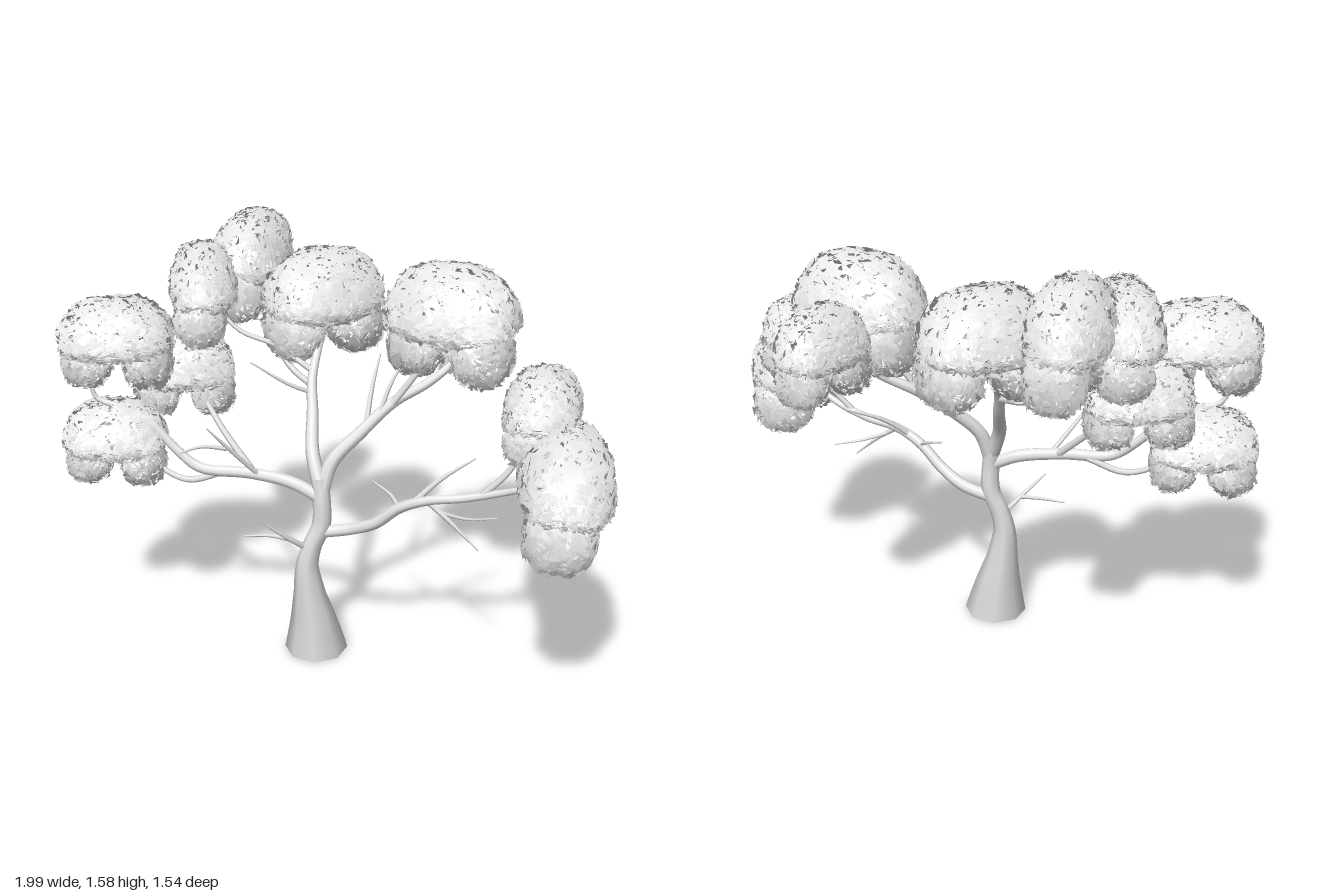
import * as THREE from 'three';

const grey = new THREE.MeshStandardMaterial({ color: 0xe7e7e7, side: THREE.DoubleSide });
grey.name = 'pale grey';

// Repeatable noise between -0.5 and 0.5
function noise(i, k) {
  const s = Math.sin(i * 12.9898 + k * 78.233) * 43758.5453;
  return s - Math.floor(s) - 0.5;
}

// Tapered tube along a curve; each point is [x, y, z, radius]
function limb(name, points, sides = 8) {
  const curve = new THREE.CatmullRomCurve3(points.map((p) => new THREE.Vector3(p[0], p[1], p[2])));
  const segments = (points.length - 1) * 5;
  const geo = new THREE.TubeGeometry(curve, segments, 1, sides);
  const pos = geo.attributes.position;
  const v = new THREE.Vector3();
  for (let i = 0; i <= segments; i++) {
    const u = i / segments;
    const c = curve.getPointAt(u);
    const f = curve.getUtoTmapping(u) * (points.length - 1);
    const k = Math.min(Math.floor(f), points.length - 2);
    const radius = THREE.MathUtils.lerp(points[k][3], points[k + 1][3], f - k);
    for (let j = 0; j <= sides; j++) {
      const n = i * (sides + 1) + j;
      v.fromBufferAttribute(pos, n).sub(c).multiplyScalar(radius).add(c);
      // a ring that starts on the ground lies flat
      pos.setXYZ(n, v.x, c.y === 0 ? 0 : v.y, v.z);
    }
  }
  const mesh = new THREE.Mesh(geo, grey);
  mesh.name = name;
  return mesh;
}

// Mass of overlapping three-cornered leaves: half sizes a, c, height up and down
// from its middle; its soft normals lean towards the given direction
function leafMass(name, a, up, down, c, lean, detail, seed) {
  const geo = new THREE.IcosahedronGeometry(1, detail);
  const pos = geo.attributes.position;
  const soft = [], points = [];
  for (let i = 0; i < pos.count; i++) {
    const x = pos.getX(i), y = pos.getY(i), z = pos.getZ(i);
    const b = y > 0 ? up : down;
    const flat = (Math.abs(x) ** 3 + Math.abs(z) ** 3) ** (1 / 3);
    const round = (flat ** 2.3 + Math.abs(y) ** 2.3) ** (-1 / 2.3);
    const lump = 0.05 * Math.sin(5 * x + seed) * Math.sin(5 * y + 2 * seed) * Math.sin(5 * z + 1);
    const s = round * (0.96 + lump);
    points.push(new THREE.Vector3(x * s * a, y * s * b, z * s * c));
    soft.push(new THREE.Vector3(x / a, y / b, z / c).normalize().add(lean));
  }
  // Enlarge and tilt every leaf on its own
  const mid = new THREE.Vector3();
  for (let i = 0; i < pos.count; i += 3) {
    mid.copy(points[i]).add(points[i + 1]).add(points[i + 2]).divideScalar(3);
    for (let k = i; k < i + 3; k++) {
      const p = points[k].sub(mid).multiplyScalar(1.4).add(mid);
      const j = (n) => 0.026 * noise(k + seed * 31, n);
      pos.setXYZ(k, p.x + j(1), p.y + j(2), p.z + j(3));
    }
  }
  // Blend each leaf's own direction into the soft normals
  geo.computeVertexNormals();
  const normal = geo.attributes.normal;
  const n = new THREE.Vector3();
  soft.forEach((dir, i) => {
    n.fromBufferAttribute(normal, i).multiplyScalar(0.5).add(dir).normalize();
    normal.setXYZ(i, n.x, n.y, n.z);
  });
  const mesh = new THREE.Mesh(geo, grey);
  mesh.name = name;
  return mesh;
}

// Long domed crown with a smaller lobe hanging under each end
function foliage([x, z, low, high, length, width, dx, dz], seed) {
  const g = new THREE.Group();
  g.name = 'foliageCluster' + (seed + 1);
  const h = high - low;
  const crown = leafMass('crown', length / 2, h * 0.48, h * 0.2, width / 2, new THREE.Vector3(0, 0.5, 0), 9, seed);
  crown.position.y = high - h * 0.48;
  g.add(crown);
  for (const s of [-1, 1]) {
    const lean = new THREE.Vector3(s * 0.5, 0, 0);
    const lobe = leafMass('hangingLobe', length * 0.21, h * 0.28, h * 0.28, width * 0.38, lean, 5, seed + 20 + s);
    lobe.position.set(s * length * 0.27, low + h * 0.28, s * width * 0.06);
    g.add(lobe);
  }
  g.position.set(x, 0, z);
  g.rotation.y = Math.atan2(-dz, dx);
  return g;
}

export function createModel() {
  const tree = new THREE.Group();
  tree.name = 'tree';

  // Flared trunk, open underneath
  tree.add(limb('trunk', [
    [-0.03, 0, 0.09, 0.122], [-0.04, 0.12, 0.09, 0.092], [-0.055, 0.24, 0.09, 0.062],
    [-0.063, 0.36, 0.09, 0.043], [-0.045, 0.44, 0.09, 0.037], [-0.01, 0.53, 0.09, 0.036],
    [-0.008, 0.63, 0.09, 0.034], [-0.015, 0.72, 0.08, 0.03],
  ]));

  // Main limbs
  tree.add(limb('rightLimb', [
    [-0.01, 0.5, 0.09, 0.024], [0.1, 0.53, 0.12, 0.024], [0.19, 0.58, 0.17, 0.022],
    [0.28, 0.665, 0.21, 0.02], [0.38, 0.715, 0.25, 0.018], [0.5, 0.74, 0.28, 0.016],
    [0.64, 0.79, 0.33, 0.013], [0.76, 0.86, 0.42, 0.008],
  ]));
  tree.add(limb('leftLimb', [
    [-0.01, 0.64, 0.09, 0.026], [-0.12, 0.69, 0.065, 0.025], [-0.28, 0.715, 0.04, 0.023],
    [-0.47, 0.725, 0.02, 0.021], [-0.56, 0.79, 0, 0.018], [-0.65, 0.88, -0.02, 0.016],
    [-0.76, 0.94, -0.03, 0.013], [-0.86, 0.98, -0.04, 0.01], [-0.88, 1.1, -0.04, 0.006],
  ]));
  tree.add(limb('centreLimb', [
    [-0.015, 0.69, 0.085, 0.029], [-0.045, 0.8, 0.03, 0.026], [-0.05, 0.92, -0.07, 0.022],
    [-0.055, 1.03, -0.15, 0.018], [-0.03, 1.15, -0.25, 0.014], [-0.01, 1.28, -0.34, 0.008],
  ]));
  tree.add(limb('upperRightLimb', [
    [-0.01, 0.66, 0.09, 0.028], [0.03, 0.78, 0.065, 0.027], [0.13, 0.88, 0.03, 0.024],
    [0.25, 0.98, -0.03, 0.021], [0.38, 1.05, -0.06, 0.017], [0.47, 1.12, -0.1, 0.013],
    [0.53, 1.22, -0.24, 0.007],
  ]));

  // Side branches that carry foliage, then bare twigs
  const branches = [
    [[0.24, 0.97, -0.02, 0.014], [0.32, 1.08, -0.02, 0.012], [0.43, 1.25, -0.01, 0.007]],
    [[0.56, 0.76, 0.3, 0.012], [0.65, 0.86, 0.31, 0.011], [0.74, 1.05, 0.31, 0.007]],
    [[-0.05, 1.0, -0.13, 0.013], [-0.15, 1.04, -0.26, 0.012], [-0.24, 1.15, -0.42, 0.01], [-0.31, 1.35, -0.55, 0.006]],
    [[-0.05, 1.05, -0.16, 0.012], [-0.2, 1.13, -0.23, 0.01], [-0.34, 1.17, -0.28, 0.009], [-0.46, 1.28, -0.32, 0.006]],
    [[-0.27, 0.72, 0.03, 0.014], [-0.38, 0.84, -0.05, 0.012], [-0.47, 0.95, -0.14, 0.01], [-0.55, 1.06, -0.18, 0.006]],
    [[-0.38, 0.71, 0.02, 0.013], [-0.52, 0.665, 0, 0.012], [-0.64, 0.71, -0.03, 0.01], [-0.78, 0.83, -0.06, 0.006]],
  ];
  const twigs = [
    [[-0.06, 0.43, 0.09, 0.012], [-0.13, 0.49, 0.13, 0.01], [-0.22, 0.57, 0.17, 0.003]],
    [[-0.12, 0.485, 0.13, 0.009], [-0.2, 0.49, 0.11, 0.007], [-0.3, 0.48, 0.1, 0.003]],
    [[0.32, 0.69, 0.23, 0.012], [0.42, 0.77, 0.19, 0.01], [0.55, 0.83, 0.13, 0.003]],
    [[0.38, 0.71, 0.25, 0.011], [0.46, 0.65, 0.29, 0.008], [0.56, 0.56, 0.33, 0.003]],
    [[0.42, 0.68, 0.27, 0.008], [0.52, 0.65, 0.26, 0.006], [0.63, 0.64, 0.23, 0.003]],
    [[0.28, 0.66, 0.21, 0.009], [0.25, 0.69, 0.16, 0.007], [0.18, 0.72, 0.1, 0.003]],
    [[0.15, 0.9, 0.02, 0.012], [0.17, 1.0, -0.12, 0.009], [0.2, 1.09, -0.26, 0.003]],
    [[0.2, 0.95, 0, 0.01], [0.24, 1.05, -0.04, 0.008], [0.29, 1.13, -0.08, 0.003]],
    [[-0.05, 0.98, -0.12, 0.01], [-0.14, 1.02, -0.1, 0.008], [-0.28, 1.11, -0.08, 0.003]],
    [[-0.24, 0.71, 0.05, 0.01], [-0.34, 0.83, 0.1, 0.008], [-0.42, 0.93, 0.14, 0.003]],
    [[-0.36, 0.82, 0.06, 0.009], [-0.45, 0.835, 0.08, 0.007], [-0.53, 0.82, 0.11, 0.003]],
  ];
  branches.forEach((p, i) => tree.add(limb('branch' + (i + 1), p, 6)));
  twigs.forEach((p, i) => tree.add(limb('twig' + (i + 1), p, 5)));

  // Foliage: x, z, lowest, highest, length, width, direction of length (x, z)
  const clusters = [
    [-0.77, -0.05, 1.02, 1.36, 0.42, 0.28, 1, -0.1],
    [-0.8, -0.06, 0.63, 0.96, 0.39, 0.27, 1, -0.05],
    [-0.55, -0.2, 0.86, 1.19, 0.39, 0.25, 1, -0.25],
    [-0.48, -0.32, 1.13, 1.5, 0.49, 0.25, 0.12, 1],
    [-0.31, -0.55, 1.16, 1.58, 0.45, 0.26, -0.25, 1],
    [-0.02, -0.34, 1.06, 1.48, 0.47, 0.33, 0.8, -0.6],
    [0.54, -0.29, 1.04, 1.38, 0.36, 0.23, 0.5, -0.85],
    [0.45, -0.03, 1.07, 1.51, 0.49, 0.31, 0.9, 0.4],
    [0.75, 0.32, 0.93, 1.24, 0.38, 0.25, -0.25, 1],
    [0.82, 0.49, 0.65, 1.1, 0.53, 0.31, -0.08, 1],
  ];
  clusters.forEach((c, i) => tree.add(foliage(c, i)));
  return tree;
}
